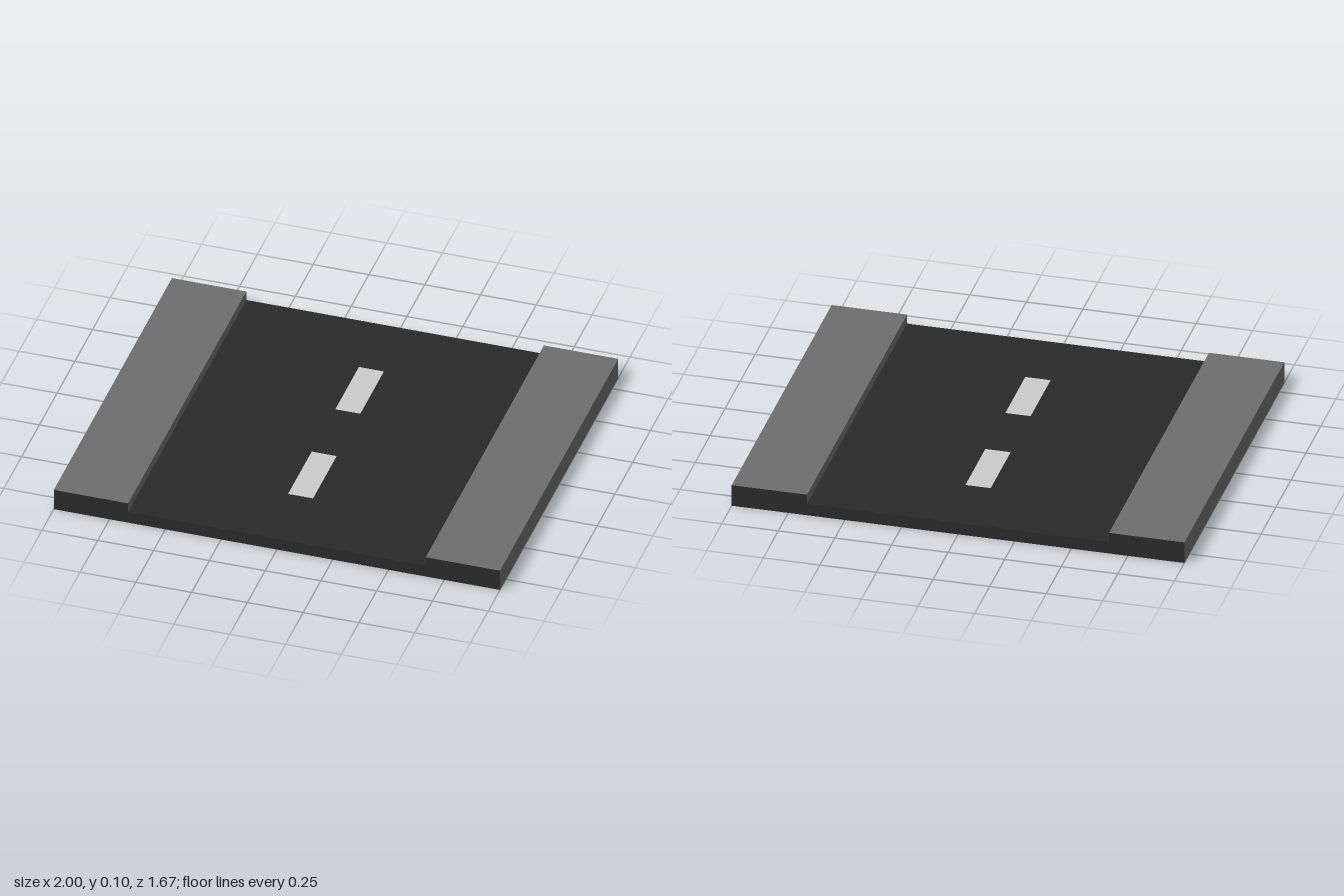
import * as THREE from 'three';

const LENGTH = 1.667;
const ROAD_HALF = 0.667;
const ROAD_TOP = 0.056;
const KERB_TOP = 0.1;

export function createModel() {
  const model = new THREE.Group();
  const asphalt = new THREE.MeshStandardMaterial({ color: 0x2a2a2a });
  const concrete = new THREE.MeshStandardMaterial({ color: 0x6e6e6e });
  const paint = new THREE.MeshStandardMaterial({ color: 0xbcbcbc });

  function add(name, geometry, material, x, y, z) {
    const mesh = new THREE.Mesh(geometry, material);
    mesh.name = name;
    mesh.position.set(x, y, z);
    model.add(mesh);
  }

  // Road slab
  add('roadSurface', new THREE.BoxGeometry(ROAD_HALF * 2, ROAD_TOP, LENGTH), asphalt, 0, ROAD_TOP / 2, 0);

  // Raised pavements: concrete sides, top and bottom, dark cut ends
  const width = 1 - ROAD_HALF;
  const faces = [concrete, concrete, concrete, concrete, asphalt, asphalt];
  for (const side of [1, -1]) {
    add(side > 0 ? 'leftPavement' : 'rightPavement', new THREE.BoxGeometry(width, KERB_TOP, LENGTH),
      faces, side * (ROAD_HALF + width / 2), KERB_TOP / 2, 0);
  }

  // Painted centre dashes, lying just above the road
  for (const end of [1, -1]) {
    const dash = new THREE.PlaneGeometry(0.112, 0.333).rotateX(-Math.PI / 2);
    add(end > 0 ? 'frontLaneDash' : 'backLaneDash', dash, paint, 0, ROAD_TOP + 0.001, end * 0.333);
  }
  return model;
}
